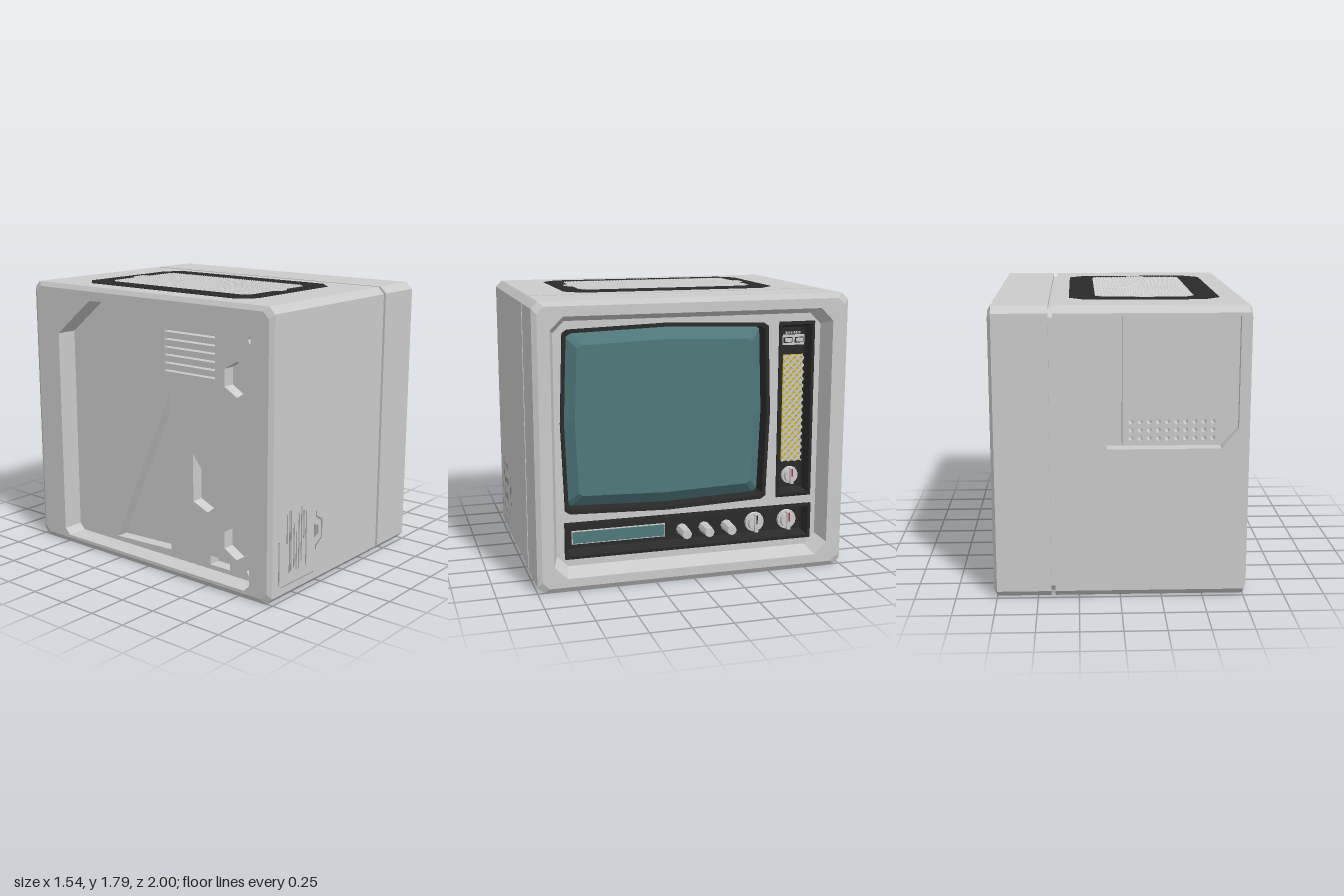
import * as THREE from 'three';
import { mergeGeometries } from 'three/addons/utils/BufferGeometryUtils.js';

const mat = (color) => new THREE.MeshStandardMaterial({ color, flatShading: true });
const grey = mat(0xcccccc), dark = mat(0x2a2a2a), teal = mat(0x4f787b);
const yellow = mat(0xd8b800), red = mat(0xb03040), shade = mat(0x999999);

// Rings of [u, y] points at depth x, counter-clockwise seen from +x, where u = -z
const ring = (x, pts) => pts.map(([u, y]) => [x, y, -u]);
const oct = (u0, u1, y0, y1, c) => [[u0 + c, y0], [u1 - c, y0], [u1, y0 + c], [u1, y1 - c],
  [u1 - c, y1], [u0 + c, y1], [u0, y1 - c], [u0, y0 + c]];

// Skin through successive rings, with optional flat end caps
function loft(rings, { start = false, end = true, skip = () => false } = {}) {
  const v = [], n = rings[0].length;
  const tri = (a, b, c) => v.push(...a, ...b, ...c);
  for (let r = 0; r < rings.length - 1; r++) {
    const a = rings[r], b = rings[r + 1];
    for (let i = 0; i < n; i++) {
      if (skip(r, i)) continue;
      const k = (i + 1) % n;
      tri(a[i], a[k], b[k]);
      tri(a[i], b[k], b[i]);
    }
  }
  const first = rings[0], last = rings[rings.length - 1];
  for (let i = 1; i < n - 1; i++) {
    if (start) tri(first[0], first[i + 1], first[i]);
    if (end) tri(last[0], last[i], last[i + 1]);
  }
  const g = new THREE.BufferGeometry();
  g.setAttribute('position', new THREE.Float32BufferAttribute(v, 3));
  g.computeVertexNormals();
  return g;
}

const toShape = (pts, holes = []) => {
  const s = new THREE.Shape(pts.map((p) => new THREE.Vector2(...p)));
  s.holes = holes.map((h) => new THREE.Path(h.map((p) => new THREE.Vector2(...p))));
  return s;
};
const extrude = (pts, depth, holes) =>
  new THREE.ExtrudeGeometry(toShape(pts, holes), { depth, bevelEnabled: false });
const polygon = (cx, cy, r, n, a0 = 0) => Array.from({ length: n }, (_, i) => {
  const a = a0 + (i / n) * Math.PI * 2;
  return [cx + r * Math.cos(a), cy + r * Math.sin(a)];
});

export function createModel() {
  const model = new THREE.Group();
  const add = (name, geo, material = grey, parent = model) => {
    const m = new THREE.Mesh(geo, material);
    m.name = name;
    parent.add(m);
    return m;
  };
  const box = (name, x, y, z, sx, sy, sz, material, parent) => {
    const m = add(name, new THREE.BoxGeometry(sx, sy, sz), material, parent);
    m.position.set(x, y, z);
    return m;
  };
  // Plate lying across x, with its outline and holes in [u, y]
  const plate = (name, x, depth, pts, holes) => {
    const m = add(name, extrude(pts, depth, holes));
    m.rotation.y = Math.PI / 2;
    m.position.x = x;
  };

  // Cabinet: rear recess, rear shell, groove, front shell, front recess
  const outer = (x, d, c = 0.042) => ring(x, oct(-1 + d, 1 - d, d, 1.78 - d, c));
  const rearOpening = [[-0.8, 0.05], [0.73, 0.05], [0.77, 0.09], [0.77, 1.45],
    [0.47, 1.69], [-0.8, 1.69], [-0.84, 1.65], [-0.84, 0.09]];
  const frontFloor = oct(-0.86, 0.86, 0.125, 1.65, 0.07);
  add('cabinet', loft([
    ring(-0.55, rearOpening), ring(-0.77, rearOpening), outer(-0.77, 0.03), outer(-0.753, 0),
    outer(0.395, 0), outer(0.395, 0.025), outer(0.42, 0.025), outer(0.42, 0),
    outer(0.75, 0), outer(0.77, 0.03),
    ring(0.77, oct(-0.895, 0.895, 0.085, 1.69, 0.08)), ring(0.655, frontFloor), ring(0.55, frontFloor),
  ], { start: true, skip: (r, i) => r === 3 && i === 2 }));

  // Side wall with a hand groove beside a nearly flush vent panel
  const bay = [[0.08, 0.93], [0.08, 1.72], [-0.7, 1.72], [-0.7, 1.05], [-0.6, 0.93]];
  add('sideWall', extrude([[-0.753, 0.042], [0.395, 0.042], [0.395, 1.738], [-0.753, 1.738]], 0.12, [bay]))
    .position.z = -1;
  const vents = [];
  for (let r = 0; r < 3; r++) for (let c = 0; c < 10; c++)
    vents.push(polygon(-0.06 - c * 0.054, 0.995 + r * 0.05, 0.017, 6));
  add('ventPanel', extrude([[-0.01, 0.95], [-0.01, 1.72], [-0.695, 1.72], [-0.695, 1.06], [-0.59, 0.95]],
    0.08, vents)).position.z = -0.992;
  box('bayBacking', -0.31, 1.315, -0.89, 0.8, 0.81, 0.04, grey);

  // Rear plate with pockets and ventilation slots
  const pockets = [
    [[-0.09, 1.15], [-0.09, 0.1], [0.4, 0.08]],
    [[-0.28, 0.78], [-0.28, 0.47], [-0.4, 0.42], [-0.5, 0.5]],
    polygon(-0.63, 1.3, 0.11, 6, Math.PI / 6), polygon(-0.63, 0.27, 0.11, 6, Math.PI / 6),
    [[-0.42, 0.08], [-0.58, 0.08], [-0.58, 0.14], [-0.42, 0.14]],
    polygon(-0.74, 1.55, 0.03, 6), polygon(-0.74, 0.11, 0.03, 6),
  ];
  for (let i = 0; i < 6; i++) {
    const y = 1.28 + i * 0.05;
    pockets.push([[-0.05, y], [-0.46, y], [-0.46, y + 0.012], [-0.05, y + 0.012]]);
  }
  plate('rearPlate', -0.63, 0.08, rearOpening, pockets);

  // Barrel-shaped screen and its surround
  const quarter = [[1, 0], [0.97, 0.93], [0.925, 0.965], [0, 1]];
  const barrel = (w, h) => {
    const q = quarter.map(([a, b]) => [a * w, b * h]);
    const top = [...q, ...q.slice(0, 3).reverse().map(([a, b]) => [-a, b])];
    const all = [...top, ...top.slice(1, 6).reverse().map(([a, b]) => [a, -b])];
    return all.map(([a, b]) => [a - 0.15, b + 1.03]);
  };
  add('screenSurround', loft([ring(0.56, barrel(0.675, 0.59)), ring(0.668, barrel(0.675, 0.59)),
    ring(0.668, barrel(0.652, 0.567)), ring(0.56, barrel(0.645, 0.56))], { end: false }), dark);
  add('screen', loft([ring(0.575, barrel(0.648, 0.563)), ring(0.635, barrel(0.578, 0.485))]), teal);

  // Dark trays for the controls, sunk into the front plate
  const trays = [['controlTray', 0.81, -0.825, 0.17, 0.405], ['speakerTray', -0.58, -0.82, 0.46, 1.6]];
  const trayOutline = ([, z0, z1, y0, y1], d) => oct(-z0 + d, -z1 - d, y0 + d, y1 - d, 0.003);
  for (const t of trays) {
    const r = (x, d) => ring(x, trayOutline(t, d));
    add(t[0], loft([r(0.56, 0), r(0.665, 0), r(0.668, 0.02), r(0.6, 0.035), r(0.59, 0.045)]), dark);
  }
  plate('frontPlate', 0.555, 0.1, frontFloor, [barrel(0.67, 0.585), ...trays.map((t) => trayOutline(t, 0.005))]);

  // Tuning display
  box('displayFrame', 0.592, 0.285, 0.45, 0.012, 0.086, 0.606, grey);
  box('displayGlass', 0.596, 0.285, 0.45, 0.012, 0.074, 0.594, teal);

  // Knobs
  const knob = (name, y, z, r, len, sides, pointer) => {
    const g = new THREE.Group();
    g.name = name;
    g.position.set(0.585, y, z);
    model.add(g);
    const disc = (n, rad, l, x) => {
      const m = add(n, new THREE.CylinderGeometry(rad * 0.92, rad, l, sides), grey, g);
      m.rotation.z = -Math.PI / 2;
      m.position.x = x + l / 2;
    };
    disc('knobBase', r, len * 0.5, 0);
    disc('knobCap', r * (pointer ? 0.75 : 0.92), len * 0.5, len * 0.5);
    if (pointer) {
      box('knobGrip', len, 0, 0, 0.03, r * 1.7, r * 0.36, grey, g);
      box('knobPointer', len + 0.012, r * 0.4, 0, 0.012, r * 0.85, r * 0.13, pointer, g);
    }
  };
  [0.035, -0.115, -0.265].forEach((z) => knob('smallKnob', 0.28, z, 0.037, 0.13, 8));
  knob('channelKnob', 0.285, -0.46, 0.068, 0.045, 14, dark);
  knob('volumeKnob', 0.285, -0.685, 0.068, 0.045, 14, red);
  knob('toneKnob', 0.585, -0.7, 0.06, 0.04, 14, red);

  // Switch block above the speaker
  box('switchBlock', 0.595, 1.475, -0.7, 0.02, 0.065, 0.15, grey);
  for (const s of [-1, 1]) {
    box('switchWell', 0.605, 1.475, -0.7 + s * 0.038, 0.006, 0.035, 0.058, dark);
    box('switchButton', 0.61, 1.475, -0.7 + s * 0.038, 0.012, 0.024, 0.044, grey);
  }
  for (let i = 0; i < 9; i++) box('scaleMark', 0.592, 1.52, -0.655 - i * 0.0115, 0.006, 0.014, 0.006, grey);

  // Speaker: crossed wires over a yellow backing
  box('speakerBacking', 0.588, 1.03, -0.705, 0.01, 0.7, 0.136, yellow);
  const wires = [];
  for (let r = 0; r < 31; r++) for (let c = 0; c < 6; c++) {
    const w = new THREE.BoxGeometry(0.022, 0.03, 0.009);
    w.rotateX((r + c) % 2 ? Math.PI / 4 : -Math.PI / 4);
    w.translate(0.602, 0.692 + r * 0.0225, -0.649 - c * 0.0225);
    wires.push(w);
  }
  add('speakerMesh', mergeGeometries(wires));

  // Top grille: dark octagonal frame around a woven mesh
  const frame = add('topFrame', extrude([[-0.52, -0.7], [0.2, -0.7], [0.3, -0.6], [0.3, 0.6],
    [0.2, 0.7], [-0.52, 0.7], [-0.62, 0.6], [-0.62, -0.6]], 0.012), dark);
  frame.rotation.x = -Math.PI / 2;
  frame.position.y = 1.7705;
  const weave = (w, d, cut) => {
    const nx = 2 * Math.round(w / 0.02), nz = 2 * Math.round(d / 0.02);
    const g = new THREE.PlaneGeometry(w, d, nx, nz).rotateX(-Math.PI / 2);
    const p = g.attributes.position;
    for (let i = 0; i < p.count; i++) {
      const col = i % (nx + 1), row = Math.floor(i / (nx + 1));
      const lim = w / 2 - Math.max(0, Math.abs(p.getZ(i)) - d / 2 + cut);
      p.setX(i, THREE.MathUtils.clamp(p.getX(i), -lim, lim));
      p.setY(i, col % 2 && row % 2 ? 0.006 : 0);
    }
    return g;
  };
  add('topMesh', weave(0.61, 1.16, 0.045)).position.set(-0.165, 1.7835, 0);
  for (const s of [-1, 1]) add('topMeshTab', weave(0.13, 0.08, 0.03)).position.set(-0.165, 1.7845, s * 0.585);

  // Fine ribs and bracket on the plain side
  const ribs = [[-0.61, 0.35, 0.53], [-0.585, 0.16, 0.55], [-0.57, 0.17, 0.55], [-0.54, 0.18, 0.46],
    [-0.515, 0.16, 0.4], [-0.49, 0.16, 0.51], [-0.465, 0.2, 0.55], [-0.44, 0.34, 0.52],
    [-0.415, 0.16, 0.51], [-0.69, 0.11, 0.38]];
  for (const [x, y0, y1] of ribs) box('sideRib', x, (y0 + y1) / 2, 0.999, 0.01, y1 - y0, 0.004, shade);
  box('sideRib', -0.5, 0.09, 0.999, 0.34, 0.006, 0.004, shade);
  add('sideBracket', extrude([[-0.315, 0.48], [-0.315, 0.44], [-0.255, 0.405], [-0.255, 0.295], [-0.315, 0.26],
    [-0.315, 0.23], [-0.305, 0.23], [-0.305, 0.25], [-0.243, 0.29], [-0.243, 0.41], [-0.305, 0.45],
    [-0.305, 0.48]], 0.004), shade).position.z = 0.997;
  add('sideTab', extrude([[-0.33, 0.4], [-0.33, 0.31], [-0.285, 0.33], [-0.285, 0.38]], 0.004), shade)
    .position.z = 0.997;

  return model;
}
